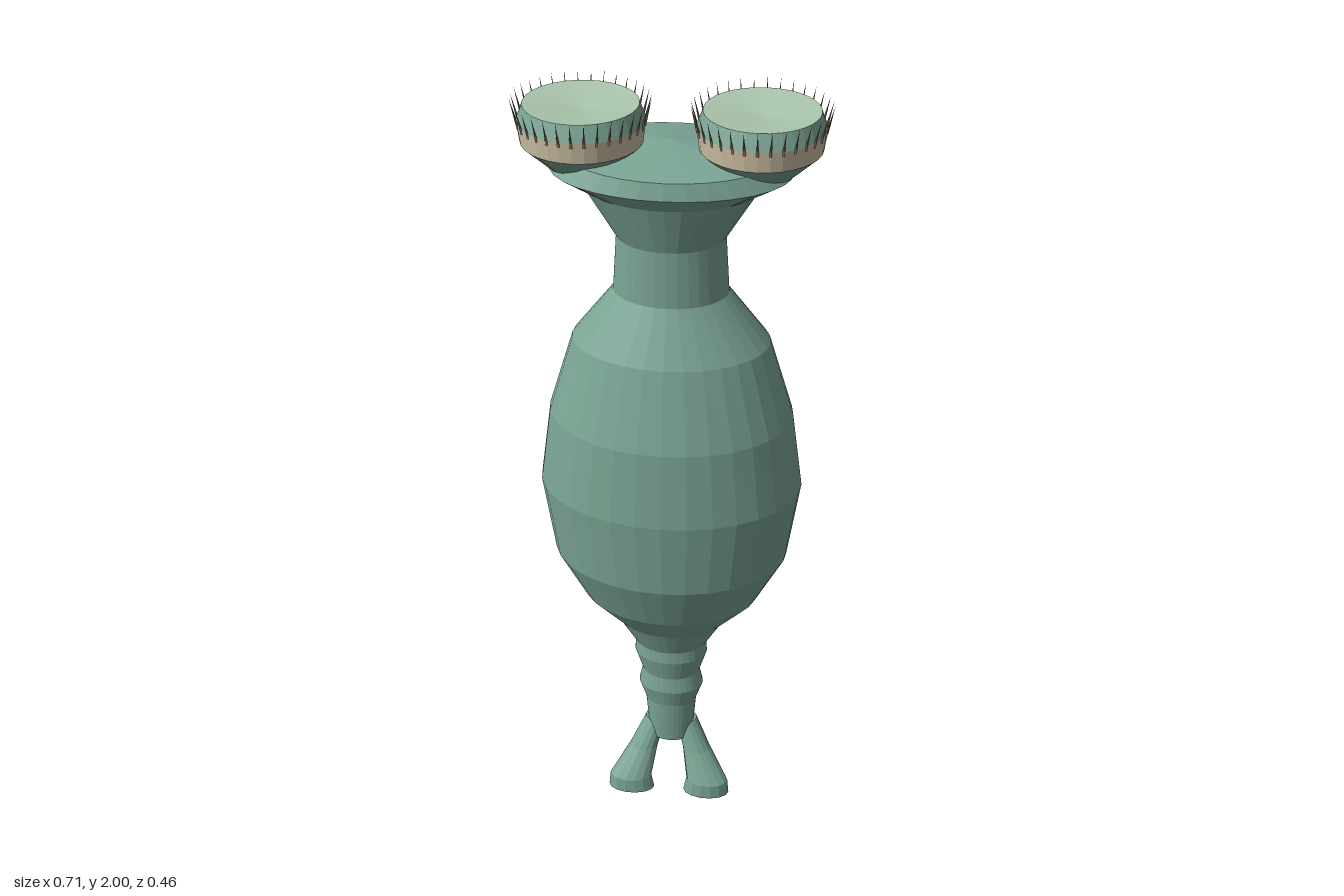
import * as THREE from 'three';

const paint = (name, color) => {
  const m = new THREE.MeshStandardMaterial({ color });
  m.name = name;
  return m;
};

// Faceted skin through elliptical rings listed bottom to top: [y, rx, rz, cx, cz]
function loft(rings, sides) {
  const pos = [];
  const point = ([y, rx, rz, cx = 0, cz = 0], j) => {
    const a = (j / sides) * Math.PI * 2;
    return [cx + rx * Math.cos(a), y, cz + rz * Math.sin(a)];
  };
  for (let i = 0; i < rings.length - 1; i++) {
    const lo = rings[i], hi = rings[i + 1];
    for (let j = 0; j < sides; j++) {
      const a = point(lo, j), b = point(lo, j + 1);
      const c = point(hi, j), d = point(hi, j + 1);
      if (hi[1] > 0) pos.push(...a, ...c, ...d);
      if (lo[1] > 0) pos.push(...a, ...d, ...b);
    }
  }
  const g = new THREE.BufferGeometry();
  g.setAttribute('position', new THREE.Float32BufferAttribute(pos, 3));
  g.computeVertexNormals();
  return g;
}

export function createModel() {
  const model = new THREE.Group();
  model.name = 'rotifer';
  const bodyGreen = paint('body green', 0x7ba594);
  const discGreen = paint('pale disc green', 0xabc6ad);
  const bandTan = paint('band tan', 0xcfc2a6);
  const ciliaBrown = paint('cilia brown', 0x8a7260);

  const add = (parent, name, geometry, material) => {
    const mesh = new THREE.Mesh(geometry, material);
    mesh.name = name;
    parent.add(mesh);
    return mesh;
  };

  // Ringed foot and barrel trunk, with the neck flaring to a low domed head
  add(model, 'body', loft([
    [0.16, 0, 0],
    [0.16, 0.058, 0.043],
    [0.29, 0.068, 0.05],
    [0.345, 0.086, 0.062],
    [0.39, 0.076, 0.056],
    [0.455, 0.096, 0.07],
    [0.49, 0.094, 0.068],
    [0.57, 0.14, 0.1],
    [0.66, 0.225, 0.16],
    [0.8, 0.296, 0.213],
    [1.01, 0.325, 0.232],
    [1.21, 0.297, 0.218],
    [1.41, 0.236, 0.166],
    [1.54, 0.136, 0.105],
    [1.68, 0.127, 0.104],
    [1.8, 0.2, 0.142],
    [1.84, 0.275, 0.177],
    [1.878, 0.24, 0.167],
    [1.908, 0, 0],
  ], 32), bodyGreen);

  for (const side of [1, -1]) {
    const label = side > 0 ? 'left' : 'right';

    // Splayed toe, bending forward and flaring at the tip
    add(model, label + 'Toe', loft([
      [0, 0, 0, side * 0.104, 0.061],
      [0, 0.063, 0.034, side * 0.104, 0.061],
      [0.042, 0.057, 0.034, side * 0.106, 0.059],
      [0.125, 0.038, 0.03, side * 0.073, 0.022],
      [0.21, 0.03, 0.028, side * 0.04, -0.004],
      [0.21, 0, 0, side * 0.04, -0.004],
    ], 14), bodyGreen);

    // Wheel organ: cup, tan band, rim and dished disc
    const wheel = new THREE.Group();
    wheel.name = label + 'WheelOrgan';
    wheel.position.x = side * 0.2;
    model.add(wheel);
    add(wheel, 'cup', loft([
      [1.835, 0, 0], [1.84, 0.075, 0.075], [1.9, 0.138, 0.138],
    ], 32), bodyGreen);
    add(wheel, 'band', loft([
      [1.9, 0.138, 0.138], [1.948, 0.144, 0.144],
    ], 32), bandTan);
    add(wheel, 'rim', loft([
      [1.948, 0.144, 0.144], [1.986, 0.13, 0.13],
    ], 32), bodyGreen);
    add(wheel, 'disc', loft([
      [1.986, 0.13, 0.13], [1.972, 0, 0],
    ], 32), discGreen);

    // Crown of fine cilia leaning outward
    const up = new THREE.Vector3(0, 1, 0);
    const hair = new THREE.ConeGeometry(0.0035, 0.064, 5);
    for (let i = 0; i < 32; i++) {
      const a = (i / 32) * Math.PI * 2;
      const out = new THREE.Vector3(Math.cos(a), 0, Math.sin(a));
      const cilium = add(wheel, 'cilium', hair, ciliaBrown);
      cilium.position.copy(out).multiplyScalar(0.149).setY(1.969);
      cilium.quaternion.setFromUnitVectors(up, out.multiplyScalar(0.25).add(up).normalize());
    }
  }
  return model;
}
